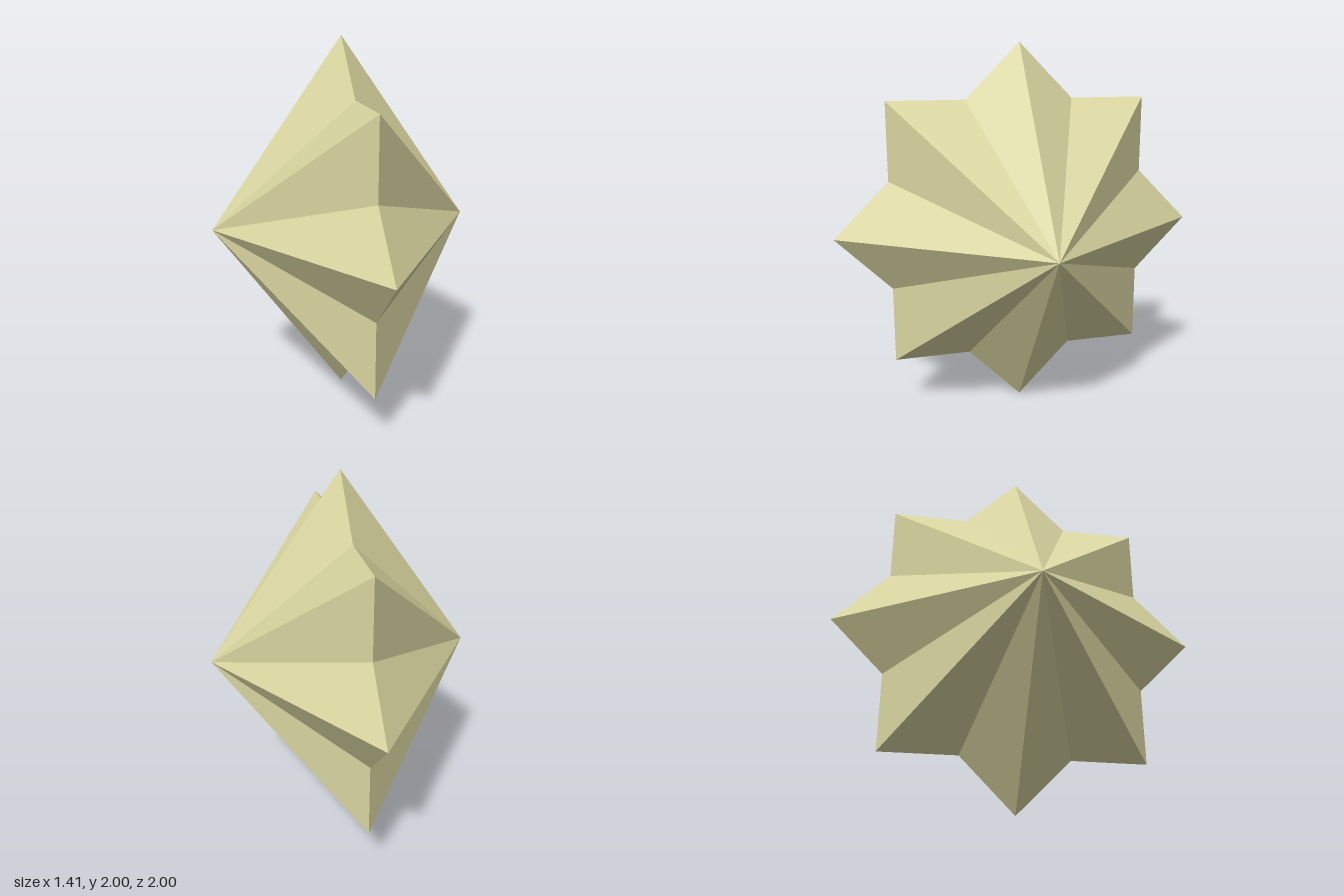
import * as THREE from 'three';

const POINTS = 8;      // tips of the star
const OUTER = 1;       // tip radius
const INNER = 0.765;   // notch radius
const APEX = 0.707;    // half width along x

// Corner of the star outline in the x = 0 plane, alternating tip and notch
function corner(i) {
  const a = (i * Math.PI) / POINTS;
  const r = i % 2 ? INNER : OUTER;
  return [0, r * Math.cos(a), r * Math.sin(a)];
}

// Fan of facets from the star outline to an apex on the given side
function halfGeometry(side) {
  const positions = [];
  for (let i = 0; i < POINTS * 2; i++) {
    const a = corner(i);
    const b = corner((i + 1) % (POINTS * 2));
    positions.push(side * APEX, 0, 0, ...(side > 0 ? [...a, ...b] : [...b, ...a]));
  }
  const geometry = new THREE.BufferGeometry();
  geometry.setAttribute('position', new THREE.Float32BufferAttribute(positions, 3));
  geometry.computeVertexNormals();
  return geometry;
}

export function createModel() {
  const model = new THREE.Group();
  model.name = 'starBipyramid';
  const material = new THREE.MeshStandardMaterial({ color: 0xd9d5a0, flatShading: true });

  // Two mirrored star pyramids joined at the outline
  for (const [name, side] of [['leftStarPyramid', 1], ['rightStarPyramid', -1]]) {
    const half = new THREE.Mesh(halfGeometry(side), material);
    half.name = name;
    half.position.y = OUTER;
    model.add(half);
  }
  return model;
}
